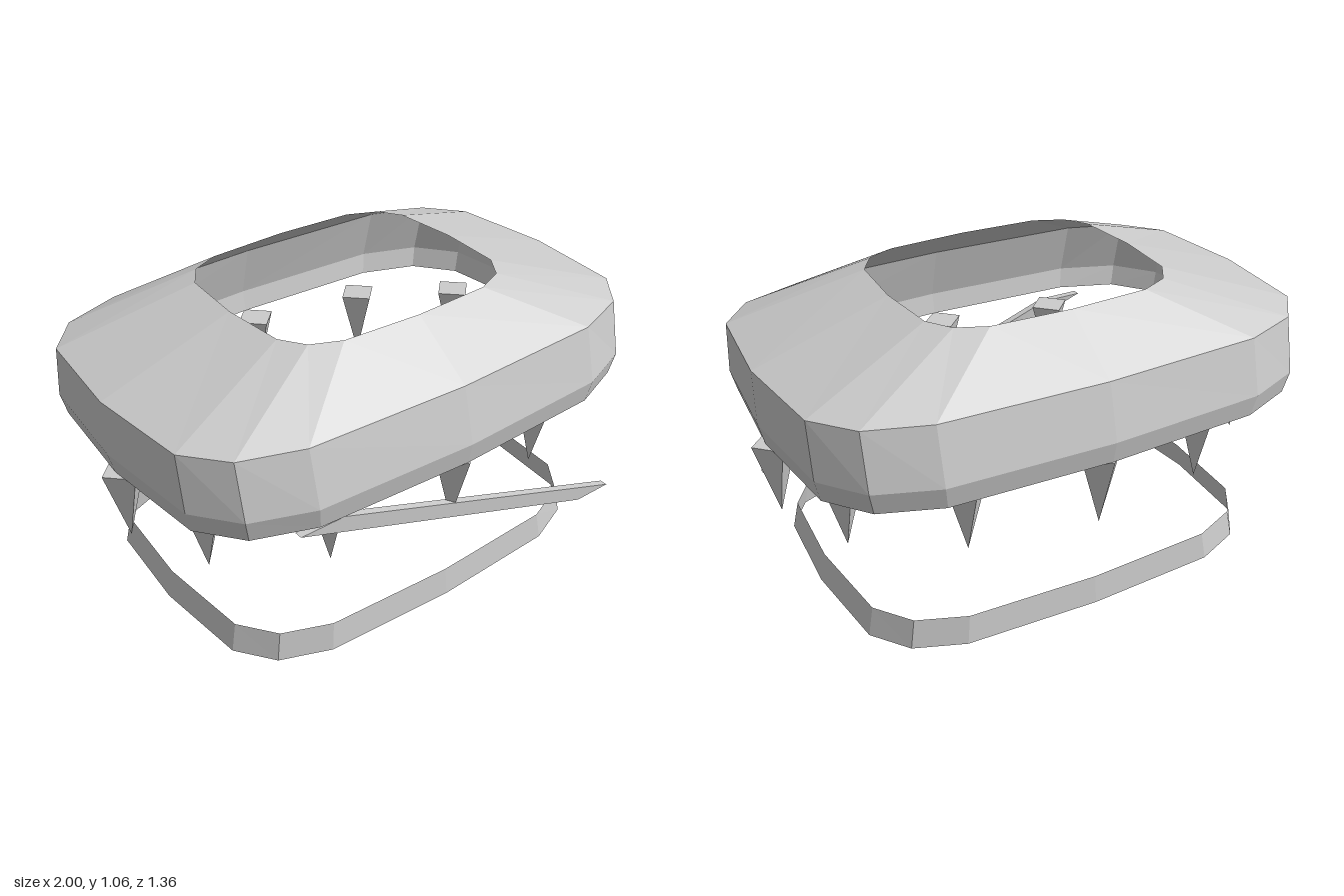
import * as THREE from 'three';

const SIDES = 16;
const material = new THREE.MeshStandardMaterial({ color: 0xcccccc, flatShading: true, side: THREE.DoubleSide });

// Open band lofted through rounded-rectangle rings, each given as [y, halfWidth, halfDepth]
function bandGeometry(rings) {
  const soften = (v) => Math.abs(v) < 1e-9 ? 0 : Math.sign(v) * Math.sqrt(Math.abs(v));
  const positions = [], index = [];
  rings.forEach(([y, halfX, halfZ], r) => {
    for (let i = 0; i < SIDES; i++) {
      const a = (i / SIDES) * Math.PI * 2;
      positions.push(halfX * soften(Math.cos(a)), y, halfZ * soften(Math.sin(a)));
      if (r === 0) continue;
      const next = (i + 1) % SIDES;
      const low = (r - 1) * SIDES, high = r * SIDES;
      index.push(low + i, high + i, high + next, low + i, high + next, low + next);
    }
  });
  const geometry = new THREE.BufferGeometry();
  geometry.setAttribute('position', new THREE.Float32BufferAttribute(positions, 3));
  geometry.setIndex(index);
  geometry.computeVertexNormals();
  return geometry;
}

export function createModel() {
  const model = new THREE.Group();
  const add = (name, geometry, parent = model) => {
    const mesh = new THREE.Mesh(geometry, material);
    mesh.name = name;
    parent.add(mesh);
    return mesh;
  };

  // Upper shell with an open top and bottom
  add('upperShell', bandGeometry([
    [0.62, 0.95, 0.665],
    [0.70, 0.97, 0.68],
    [0.90, 0.97, 0.628],
    [1.06, 0.48, 0.395],
  ]));

  // Lower band resting on the ground
  add('lowerBand', bandGeometry([
    [0, 0.805, 0.6],
    [0.105, 0.783, 0.587],
  ]));

  // Twelve four-sided teeth hanging around an ellipse
  const teeth = new THREE.Group();
  teeth.name = 'teeth';
  model.add(teeth);
  const toothGeometry = new THREE.ConeGeometry(0.08, 0.275, 4).rotateX(Math.PI);
  for (let i = 0; i < 12; i++) {
    const a = (i / 12) * Math.PI * 2;
    const tooth = add('tooth', toothGeometry, teeth);
    tooth.position.set(0.92 * Math.cos(a), 0.4825, 0.595 * Math.sin(a));
  }

  // Slanted bar across the front, with level ends
  const bar = new THREE.Shape([
    new THREE.Vector2(-0.65, 0.597),
    new THREE.Vector2(0.65, 0.132),
    new THREE.Vector2(0.81, 0.132),
    new THREE.Vector2(-0.48, 0.597),
  ]);
  add('slantedBar', new THREE.ExtrudeGeometry(bar, { depth: 0.03, bevelEnabled: false }))
    .position.z = 0.59;

  return model;
}
